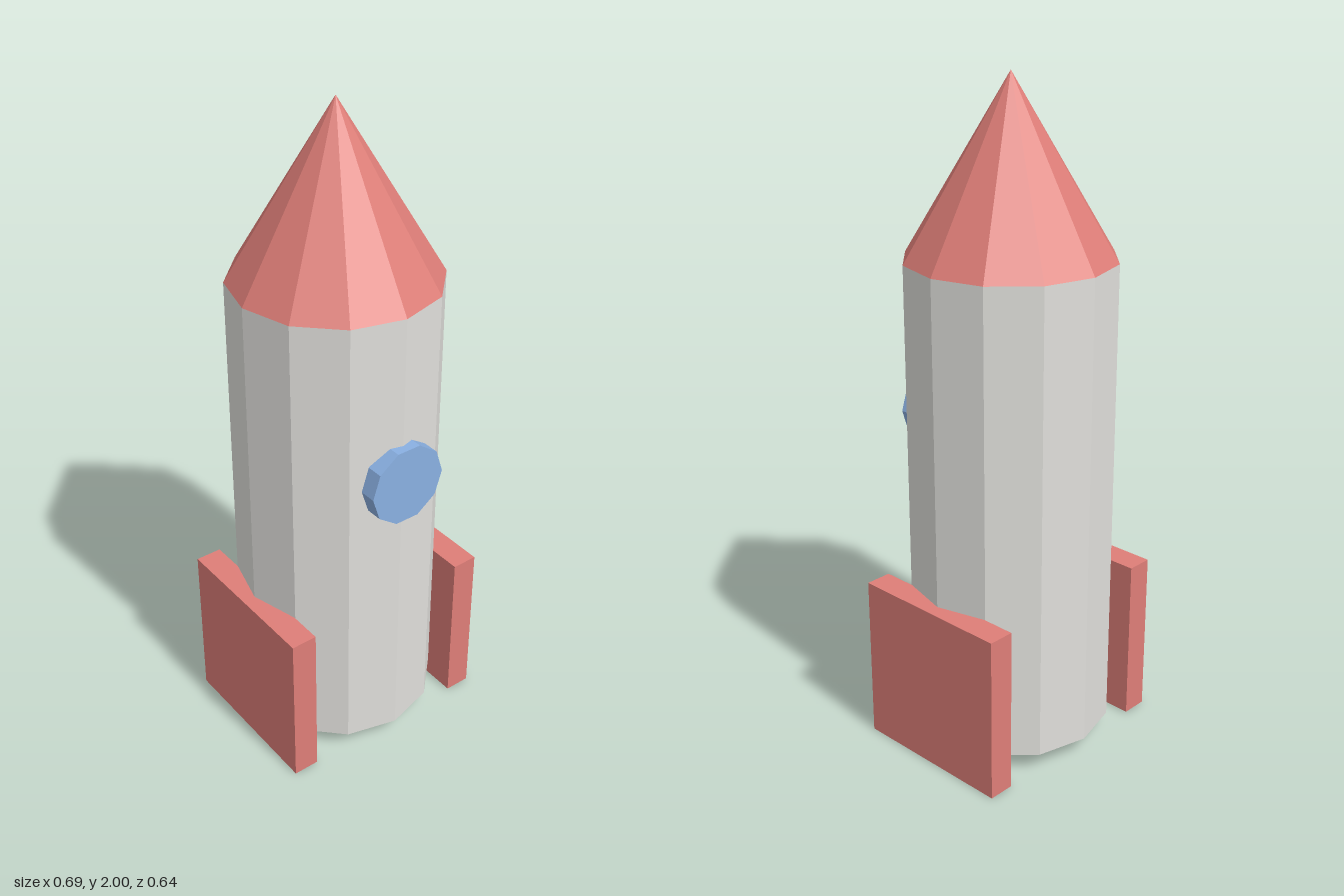
import * as THREE from 'three';

export function createModel() {
  const group = new THREE.Group();
  const material = (name, color) => {
    const m = new THREE.MeshStandardMaterial({ color, flatShading: true });
    m.name = name;
    return m;
  };
  const hullGrey = material('hull grey', 0xe0dfdb);
  const red = material('warm red', 0xde7e78);
  const blue = material('window blue', 0x8ab0e2);

  const add = (name, geometry, mat, x, y, z) => {
    const mesh = new THREE.Mesh(geometry, mat);
    mesh.name = name;
    mesh.position.set(x, y, z);
    group.add(mesh);
  };

  const axisZ = -0.013, radius = 0.307;
  const bottom = 0.056, shoulder = 1.49, tip = 2;

  // Twelve-sided hull and nose cone
  add('hull', new THREE.CylinderGeometry(radius, radius, shoulder - bottom, 12), hullGrey,
    0, (shoulder + bottom) / 2, axisZ);
  add('noseCone', new THREE.ConeGeometry(radius, tip - shoulder, 12), red,
    0, (tip + shoulder) / 2, axisZ);

  // Ten-sided porthole with a flat top edge
  const disc = new THREE.CylinderGeometry(0.123, 0.123, 0.051, 10);
  disc.rotateY(Math.PI / 2).rotateX(Math.PI / 2);
  add('porthole', disc, blue, 0, 0.98, 0.294);

  // Slab fins on both sides
  for (const side of [-1, 1]) {
    add(side > 0 ? 'leftFin' : 'rightFin', new THREE.BoxGeometry(0.081, 0.512, 0.512), red,
      side * 0.307, 0.256, axisZ);
  }
  return group;
}
